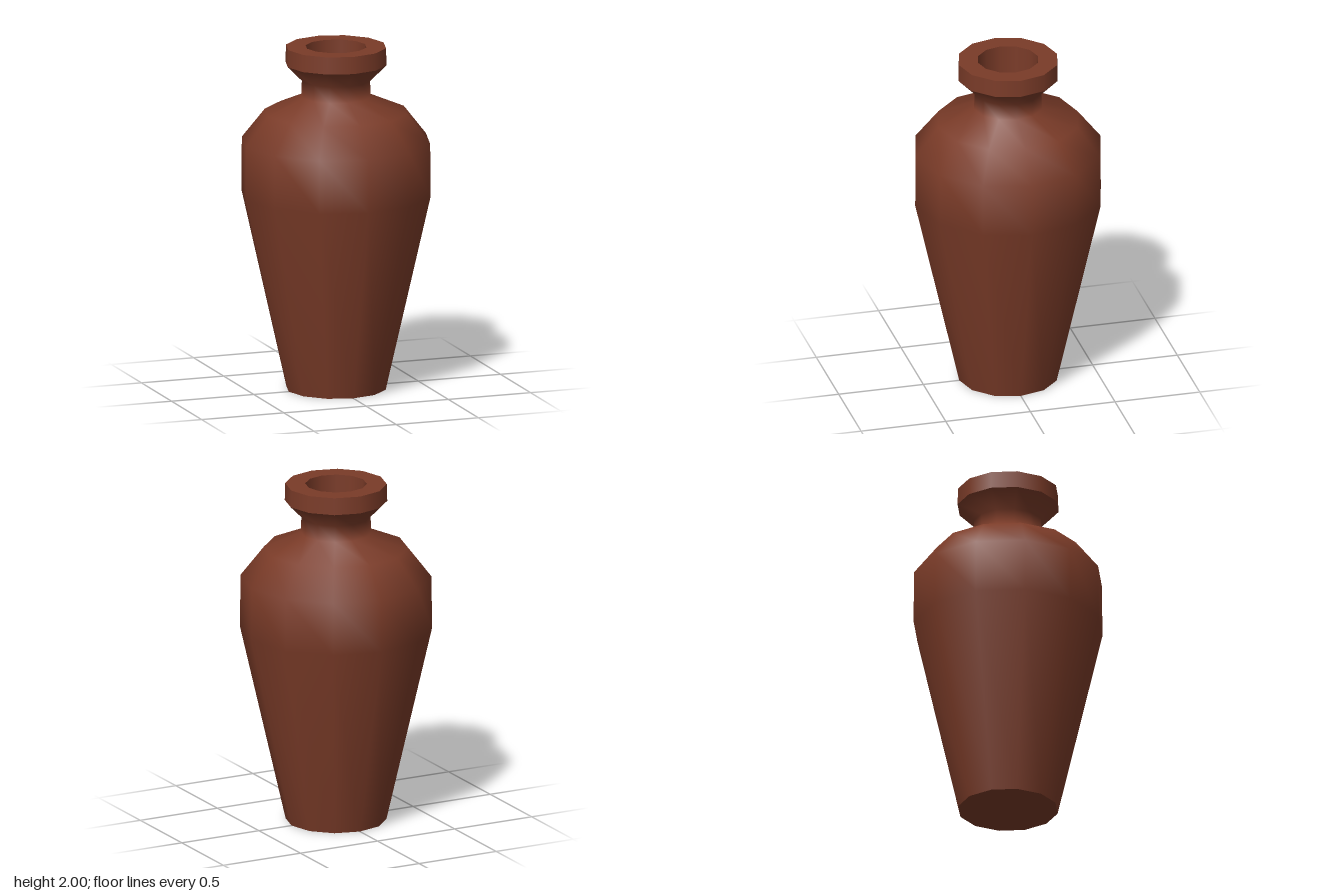
import * as THREE from 'three';

const SIDES = 12;

// Surface of revolution from [radius, height] pairs; normals are smooth within one part.
function turned(name, profile, material) {
  const points = profile.map(([r, y]) => new THREE.Vector2(r, y));
  const mesh = new THREE.Mesh(new THREE.LatheGeometry(points, SIDES), material);
  mesh.name = name;
  return mesh;
}

export function createModel() {
  const clay = new THREE.MeshStandardMaterial({ color: 0x7a3b28 });
  clay.name = 'clay';
  const dark = new THREE.MeshStandardMaterial({ color: 0x260f0f });
  dark.name = 'dark interior';

  const vase = new THREE.Group();
  vase.name = 'vase';
  vase.add(
    // flat underside
    turned('base', [[0, 0], [0.288, 0]], clay),
    // tapered body, rounded shoulder, neck and flare
    turned('body', [
      [0.288, 0], [0.548, 1.14], [0.546, 1.45], [0.412, 1.62],
      [0.2, 1.71], [0.198, 1.805], [0.293, 1.9],
    ], clay),
    // mouth: outer band, flat lip and inner wall, split to keep the edges sharp
    turned('rimBand', [[0.293, 1.9], [0.29, 2]], clay),
    turned('lip', [[0.29, 2], [0.176, 2]], clay),
    turned('innerWall', [[0.176, 2], [0.172, 1.7]], clay),
    // dark floor closing the mouth
    turned('mouthFloor', [[0.172, 1.7], [0, 1.7]], dark),
  );
  return vase;
}
